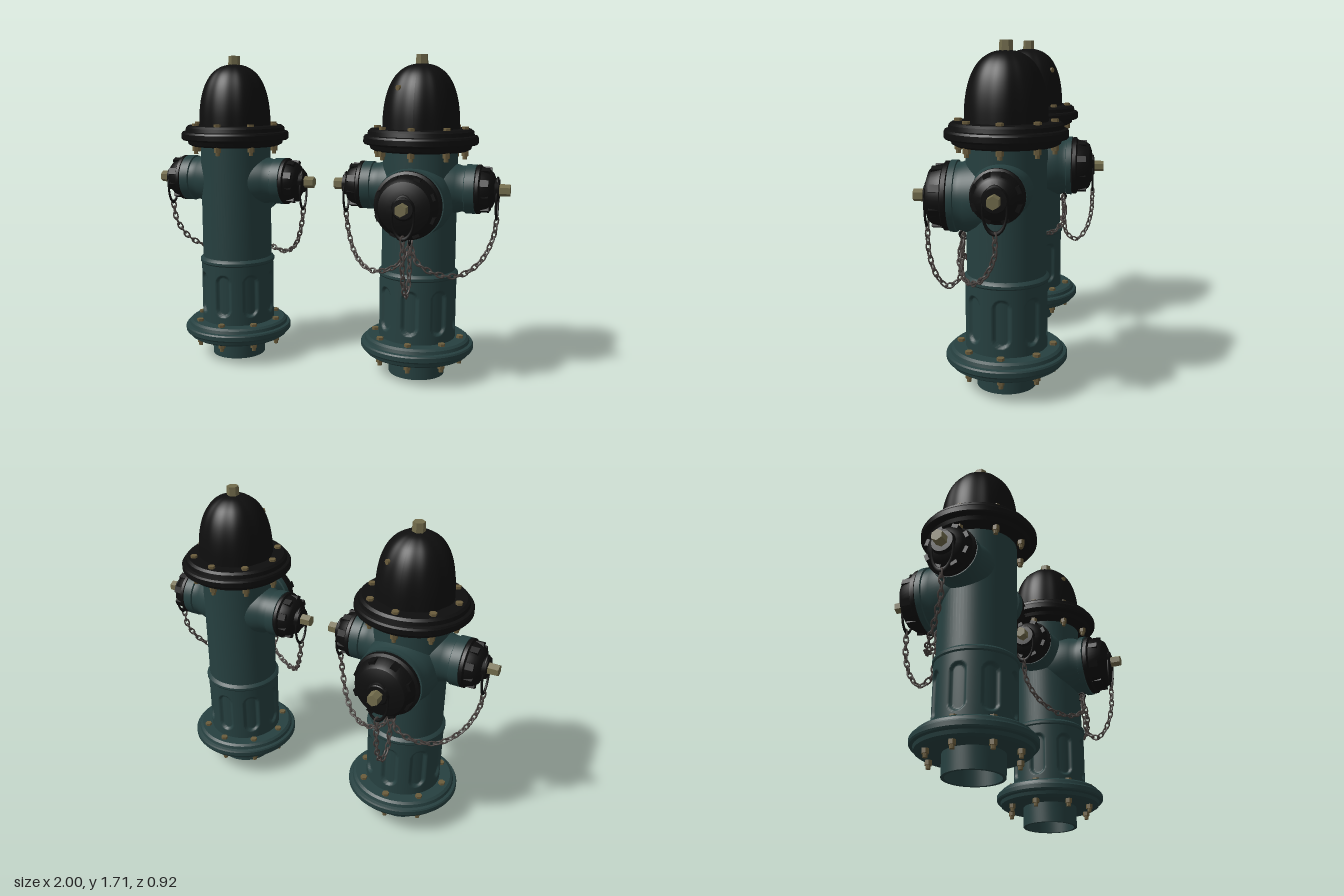
import * as THREE from 'three';
import { mergeGeometries, toCreasedNormals } from 'three/addons/utils/BufferGeometryUtils.js';

const paint = (name, color) => Object.assign(new THREE.MeshStandardMaterial({ color }), { name });

// Lathe from [radius, height] pairs, outside running upwards
const lathe = (pts, seg = 64) =>
  toCreasedNormals(new THREE.LatheGeometry(pts.map(([r, y]) => new THREE.Vector2(r, y)), seg), 0.5);

// Eight-sided repetition around the vertical axis
const around = (n, fn) => { for (let i = 0; i < n; i++) fn((i / n) * Math.PI * 2); };

// Barrel wall with eight sunken round-ended panels
function flutedBarrel() {
  const geo = new THREE.CylinderGeometry(0.205, 0.205, 0.35, 192, 56, true);
  const p = geo.attributes.position;
  for (let i = 0; i < p.count; i++) {
    const y = p.getY(i), a = Math.atan2(p.getX(i), p.getZ(i)), step = Math.PI / 4;
    const s = (a - Math.round(a / step) * step) * 0.205;
    const v = Math.max(Math.abs(y) - 0.075, 0);
    const d = Math.hypot(s, v) - 0.043;
    const k = 1 - 0.075 * (1 - THREE.MathUtils.smoothstep(d, -0.008, 0.002));
    p.setX(i, p.getX(i) * k);
    p.setZ(i, p.getZ(i) * k);
  }
  geo.computeVertexNormals();
  return geo.translate(0, 0.375, 0);
}

// Bell-shaped dome with soft vertical lobes
function domeShape() {
  const curve = new THREE.SplineCurve([[0.203, 1.31], [0.2, 1.4], [0.188, 1.48], [0.165, 1.55],
    [0.13, 1.605], [0.085, 1.64], [0.04, 1.655], [0.0, 1.657]].map(([r, y]) => new THREE.Vector2(r, y)));
  const geo = new THREE.LatheGeometry(curve.getPoints(28), 96);
  const p = geo.attributes.position;
  for (let i = 0; i < p.count; i++) {
    const a = Math.atan2(p.getX(i), p.getZ(i));
    const k = 1 - 0.025 * Math.pow(Math.abs(Math.sin(4 * a)), 4);
    p.setX(i, p.getX(i) * k);
    p.setZ(i, p.getZ(i) * k);
  }
  geo.computeVertexNormals();
  return geo;
}

// Interlocked oval links along a smooth path
function chainShape(points) {
  const curve = new THREE.CatmullRomCurve3(points.map(q => new THREE.Vector3(...q)));
  const n = Math.round(curve.getLength() / 0.034);
  const links = [];
  for (let i = 0; i <= n; i++) {
    const t = curve.getTangentAt(i / n), c = curve.getPointAt(i / n);
    const side = new THREE.Vector3(0.7, 0.1, 0.7).cross(t).normalize();
    const m = new THREE.Matrix4().makeBasis(t, side, t.clone().cross(side)).setPosition(c);
    links.push(new THREE.TorusGeometry(0.0125, 0.0045, 6, 12).scale(1.7, 1, 1)
      .rotateX(i % 2 ? Math.PI / 2 : 0).applyMatrix4(m));
  }
  return mergeGeometries(links);
}

// Hex bolt through a flange: head above, nut and stud below
function boltRing(bottom, top) {
  const parts = [];
  around(8, a => {
    const add = (r, y0, y1, seg) => parts.push(toCreasedNormals(
      new THREE.CylinderGeometry(r, r, y1 - y0, seg), 0.5)
      .translate(Math.sin(a) * 0.233, (y0 + y1) / 2, Math.cos(a) * 0.233));
    add(0.019, top - 0.005, top + 0.014, 6);
    add(0.019, bottom - 0.024, bottom + 0.02, 6);
    add(0.012, bottom - 0.042, bottom, 8);
  });
  return mergeGeometries(parts);
}

export function createModel() {
  const green = paint('green paint', 0x264040);
  const black = paint('black paint', 0x0e0e0e);
  const brass = paint('dull brass', 0x726c4c);
  const bronze = paint('bolt bronze', 0x6a5c3c);
  const steel = paint('chain steel', 0x48413e);

  const mesh = (parent, name, geo, mat) => {
    const m = new THREE.Mesh(geo, mat);
    m.name = name;
    parent.add(m);
    return m;
  };
  const hexNut = (r, y0, y1) => toCreasedNormals(
    new THREE.CylinderGeometry(r * 0.93, r, y1 - y0, 6), 0.5).translate(0, (y0 + y1) / 2, 0);

  // Outlet pointing to +z: neck, cap with lugs, nut and hanger loop
  function outlet(name, neck, cap, nut, lug) {
    const g = new THREE.Group();
    g.name = name;
    const turn = geo => geo.rotateX(Math.PI / 2);
    mesh(g, 'outletNeck', turn(lathe(neck)), green);
    mesh(g, 'outletCap', turn(lathe(cap, 48)), black);
    const lugs = [];
    around(8, a => lugs.push(new THREE.BoxGeometry(0.035, 0.022, lug.depth)
      .translate(0, lug.r, lug.z).rotateZ(a + Math.PI / 8)));
    mesh(g, 'capLugs', mergeGeometries(lugs), black);
    mesh(g, 'capNut', turn(hexNut(0.033, nut[0], nut[1])), brass);
    mesh(g, 'hangerLoop', new THREE.TorusGeometry(0.055, 0.006, 6, 32)
      .scale(1, 1.9, 1).translate(0, -0.045, nut[0]), black);
    return g;
  }

  function hydrant(name) {
    const g = new THREE.Group();
    g.name = name;

    // Hollow foot pipe, lower flange and barrel
    mesh(g, 'footAndFlange', lathe([[0, 0.14], [0.133, 0.14], [0.133, 0], [0.15, 0], [0.15, 0.11],
      [0.262, 0.11], [0.278, 0.12], [0.283, 0.138], [0.298, 0.142], [0.303, 0.15], [0.303, 0.172],
      [0.298, 0.18], [0.283, 0.184], [0.278, 0.2], [0.265, 0.21], [0.19, 0.21]], 72), green);
    mesh(g, 'flutedBarrel', flutedBarrel(), green);
    mesh(g, 'upperBarrel', lathe([[0.19, 0.545], [0.207, 0.545], [0.212, 0.552], [0.212, 0.565],
      [0.205, 0.573], [0.196, 0.58], [0.196, 1.22]], 72), green);

    // Bonnet
    mesh(g, 'bonnetFlange', lathe([[0.18, 1.21], [0.243, 1.21], [0.262, 1.22], [0.268, 1.24],
      [0.294, 1.244], [0.3, 1.252], [0.3, 1.278], [0.294, 1.288], [0.279, 1.292], [0.275, 1.312],
      [0.262, 1.323], [0.19, 1.325]], 72), black);
    mesh(g, 'bonnetDome', domeShape(), black);
    mesh(g, 'operatingNut', hexNut(0.034, 1.64, 1.705), brass);
    const plug = mesh(g, 'domePlug', new THREE.CylinderGeometry(0.014, 0.014, 0.03, 12)
      .rotateX(Math.PI / 2), bronze);
    plug.position.set(-0.085, 1.535, 0.14);
    plug.rotation.y = -0.55;

    mesh(g, 'baseBolts', boltRing(0.11, 0.21), bronze);
    mesh(g, 'bonnetBolts', boltRing(1.21, 1.323), bronze);

    // Large front outlet
    const front = outlet('frontOutlet',
      [[0.195, 0.06], [0.192, 0.13], [0.178, 0.19], [0.168, 0.215], [0.168, 0.235], [0.177, 0.238],
        [0.177, 0.268], [0, 0.268]],
      [[0.14, 0.262], [0.158, 0.265], [0.172, 0.275], [0.172, 0.296], [0.158, 0.304], [0.146, 0.352],
        [0.13, 0.374], [0.09, 0.388], [0.06, 0.392], [0.05, 0.405], [0, 0.405]],
      [0.395, 0.46], { r: 0.147, z: 0.326, depth: 0.06 });
    front.position.y = 0.957;
    g.add(front);

    // Side outlets and their chains
    for (const s of [1, -1]) {
      const side = outlet(s > 0 ? 'leftOutlet' : 'rightOutlet',
        [[0.15, 0.1], [0.14, 0.16], [0.127, 0.2], [0.12, 0.225], [0.12, 0.245], [0.128, 0.249],
          [0.128, 0.298], [0, 0.298]],
        [[0.1, 0.292], [0.118, 0.295], [0.128, 0.304], [0.128, 0.32], [0.117, 0.328], [0.106, 0.362],
          [0.09, 0.382], [0.062, 0.395], [0.055, 0.415], [0, 0.417]],
        [0.405, 0.47], { r: 0.107, z: 0.345, depth: 0.05 });
      side.position.y = 1.016;
      side.rotation.y = s * Math.PI / 2;
      g.add(side);
      mesh(g, s > 0 ? 'leftChain' : 'rightChain', chainShape([[0.405, 0.85, 0], [0.39, 0.76, 0.005],
        [0.335, 0.645, 0.06], [0.24, 0.585, 0.14], [0.13, 0.6, 0.2], [0.04, 0.66, 0.228],
        [0, 0.75, 0.215]].map(([x, y, z]) => [x * s, y, z])), steel);
    }
    mesh(g, 'frontChain', chainShape([[0, 0.8, 0.395], [0, 0.66, 0.388], [0, 0.545, 0.35],
      [0, 0.497, 0.298], [0, 0.535, 0.24], [0, 0.62, 0.224], [0, 0.75, 0.218]]), steel);
    mesh(g, 'chainEye', new THREE.TorusGeometry(0.022, 0.007, 8, 16)
      .rotateY(Math.PI / 2).translate(0, 0.765, 0.21), black);
    return g;
  }

  // A pair standing side by side, facing opposite ways
  const model = new THREE.Group();
  model.name = 'hydrantPair';
  const a = hydrant('frontFacingHydrant'), b = hydrant('backFacingHydrant');
  a.position.x = 0.53;
  b.position.x = -0.53;
  b.rotation.y = Math.PI;
  model.add(a, b);
  return model;
}
